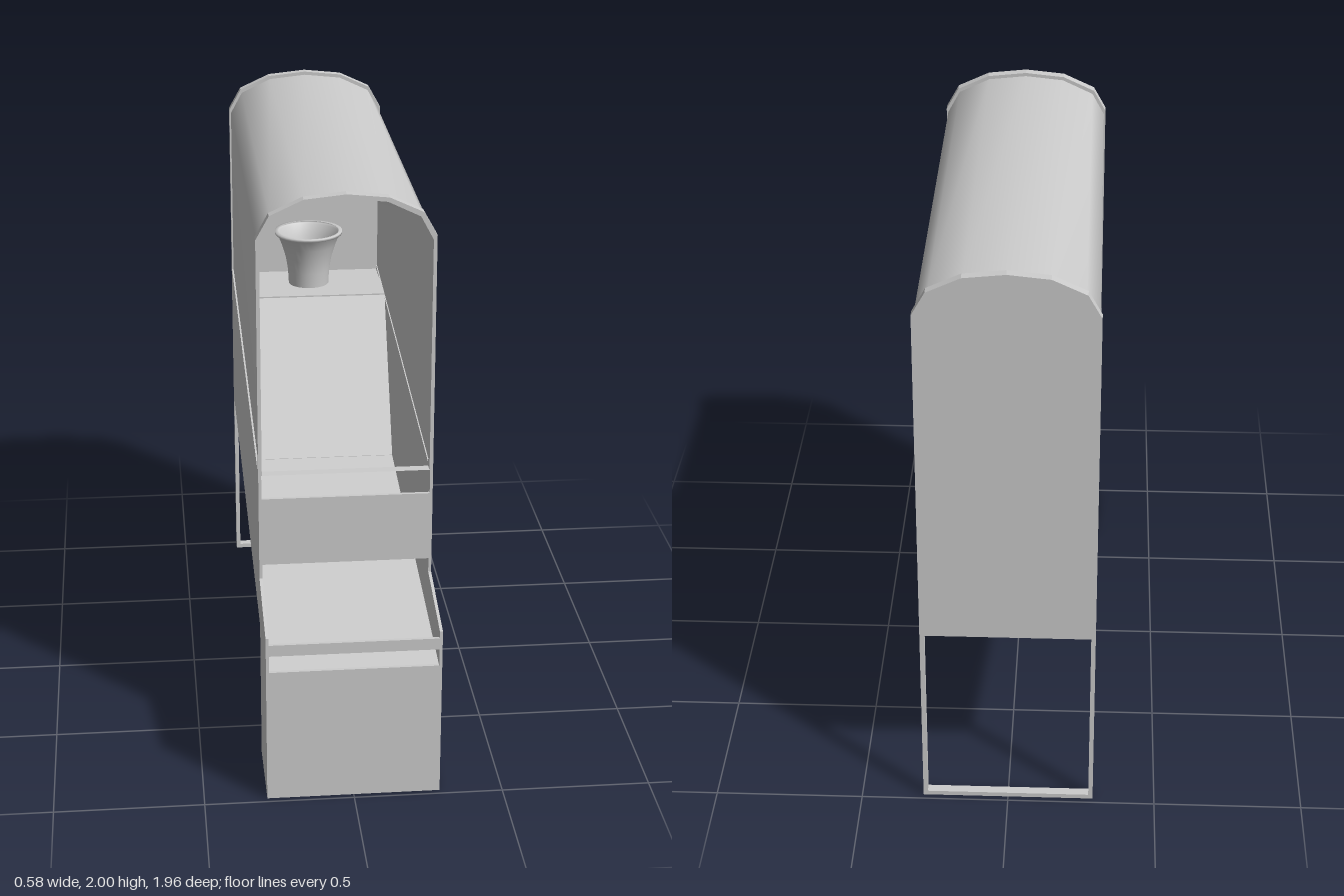
import * as THREE from 'three';

const mat = new THREE.MeshStandardMaterial({ color: 0xcccccc, flatShading: true, side: THREE.DoubleSide });
const smooth = new THREE.MeshStandardMaterial({ color: 0xcccccc, side: THREE.DoubleSide });

const W = 0.29, IN = 0.28; // outer and inner half widths

function add(group, name, geometry, material = mat) {
  const mesh = new THREE.Mesh(geometry, material);
  mesh.name = name;
  group.add(mesh);
  return mesh;
}

function box(group, name, x0, x1, y0, y1, z0, z1) {
  const mesh = add(group, name, new THREE.BoxGeometry(x1 - x0, y1 - y0, z1 - z0));
  mesh.position.set((x0 + x1) / 2, (y0 + y1) / 2, (z0 + z1) / 2);
}

// Side outline given as [z, y] points, extruded across x
function acrossX(points, x0, x1) {
  const shape = new THREE.Shape(points.map(([z, y]) => new THREE.Vector2(-z, y)));
  return new THREE.ExtrudeGeometry(shape, { depth: x1 - x0, bevelEnabled: false })
    .rotateY(Math.PI / 2).translate(x0, 0, 0);
}

// Sloping plate from one [z, y] point to another, with its top on the line
function plate(group, name, [z0, y0], [z1, y1], t = 0.012) {
  add(group, name, acrossX([[z0, y0], [z1, y1], [z1, y1 - t], [z0, y0 - t]], -IN, IN));
}

// Arched outline from bottom right, over the top, to bottom left
function arch(w, bottom, top) {
  const half = [[1, bottom], [1, top - 0.143], [0.85, top - 0.065], [0.47, top - 0.014]];
  const right = half.map(([x, y]) => new THREE.Vector2(x * w, y));
  const left = right.map(p => new THREE.Vector2(-p.x, p.y)).reverse();
  return [...right, new THREE.Vector2(0, top), ...left];
}

function archPanel(outer, hole, z0, z1) {
  const shape = new THREE.Shape(outer);
  shape.holes.push(new THREE.Path(hole));
  return new THREE.ExtrudeGeometry(shape, { depth: z1 - z0, bevelEnabled: false }).translate(0, 0, z0);
}

export function createModel() {
  const model = new THREE.Group();
  model.name = 'tossGameCabinet';

  // Stepped side panels
  const side = [[0.98, 0], [0.98, 0.6], [0.68, 0.67], [0.68, 1.045], [-0.95, 1.215],
    [-0.95, 0.67], [0.68, 0.495], [0.68, 0]];
  add(model, 'leftSide', acrossX(side, IN, W));
  add(model, 'rightSide', acrossX(side, -W, -IN));

  // Front box with a slot below its rail
  box(model, 'boxFront', -IN, IN, 0, 0.475, 0.968, 0.98);
  box(model, 'frontRail', -IN, IN, 0.535, 0.575, 0.968, 0.98);
  box(model, 'boxBack', -IN, IN, 0, 0.495, 0.68, 0.692);
  box(model, 'boxBottom', -IN, IN, 0, 0.01, 0.692, 0.968);

  // Upper front panel, underside and ball return floor
  box(model, 'upperFrontPanel', -IN, IN, 0.72, 0.96, 0.668, 0.68);
  plate(model, 'underside', [0.68, 0.507], [-0.95, 0.682]);
  plate(model, 'returnFloor', [0.968, 0.475], [-0.95, 0.735], 0.006);

  // Sloping target board and the shelf behind it
  plate(model, 'targetBoard', [-0.35, 0.655], [-0.65, 1.195]);
  plate(model, 'targetShelf', [-0.65, 1.2], [-0.95, 1.2]);

  // Flared target cup
  const profile = [[0.077, 1.205], [0.08, 1.26], [0.088, 1.31], [0.103, 1.36], [0.12, 1.403],
    [0.13, 1.405], [0.13, 1.415], [0.117, 1.415]].map(p => new THREE.Vector2(...p));
  add(model, 'targetCup', new THREE.LatheGeometry(profile, 32), smooth).position.z = -0.8;

  // Thin curved hood, swept from front frame to back panel
  const line = arch(0.284, 1.045, 1.988);
  const hood = new THREE.PlaneGeometry(1, 1, line.length - 1, 1);
  const pos = hood.attributes.position;
  for (let i = 0; i < pos.count; i++) {
    const p = line[i % line.length];
    const back = i >= line.length;
    const y = back && p.y < 1.2 ? 1.215 : p.y;
    pos.setXYZ(i, p.x, y, back ? -0.95 : 0.66);
  }
  // Order the faces so that the hood faces outward
  hood.setIndex(Array.from(hood.index.array).reverse());
  hood.computeVertexNormals();
  if (hood.attributes.normal.getY((line.length - 1) / 2) < 0) {
    hood.setIndex(Array.from(hood.index.array).reverse());
    hood.computeVertexNormals();
  }
  add(model, 'hood', hood, smooth);

  // Front arch frame
  add(model, 'frontFrame', archPanel(arch(W, 1.045, 2), arch(0.278, 1.045, 1.986), 0.645, 0.68));

  // Back panel standing on an open leg frame
  const windowHole = [[-0.275, 0.016], [0.275, 0.016], [0.275, 0.67], [-0.275, 0.67]]
    .map(p => new THREE.Vector2(...p));
  add(model, 'backPanel', archPanel(arch(W, 0, 2), windowHole, -0.98, -0.948));

  return model;
}
